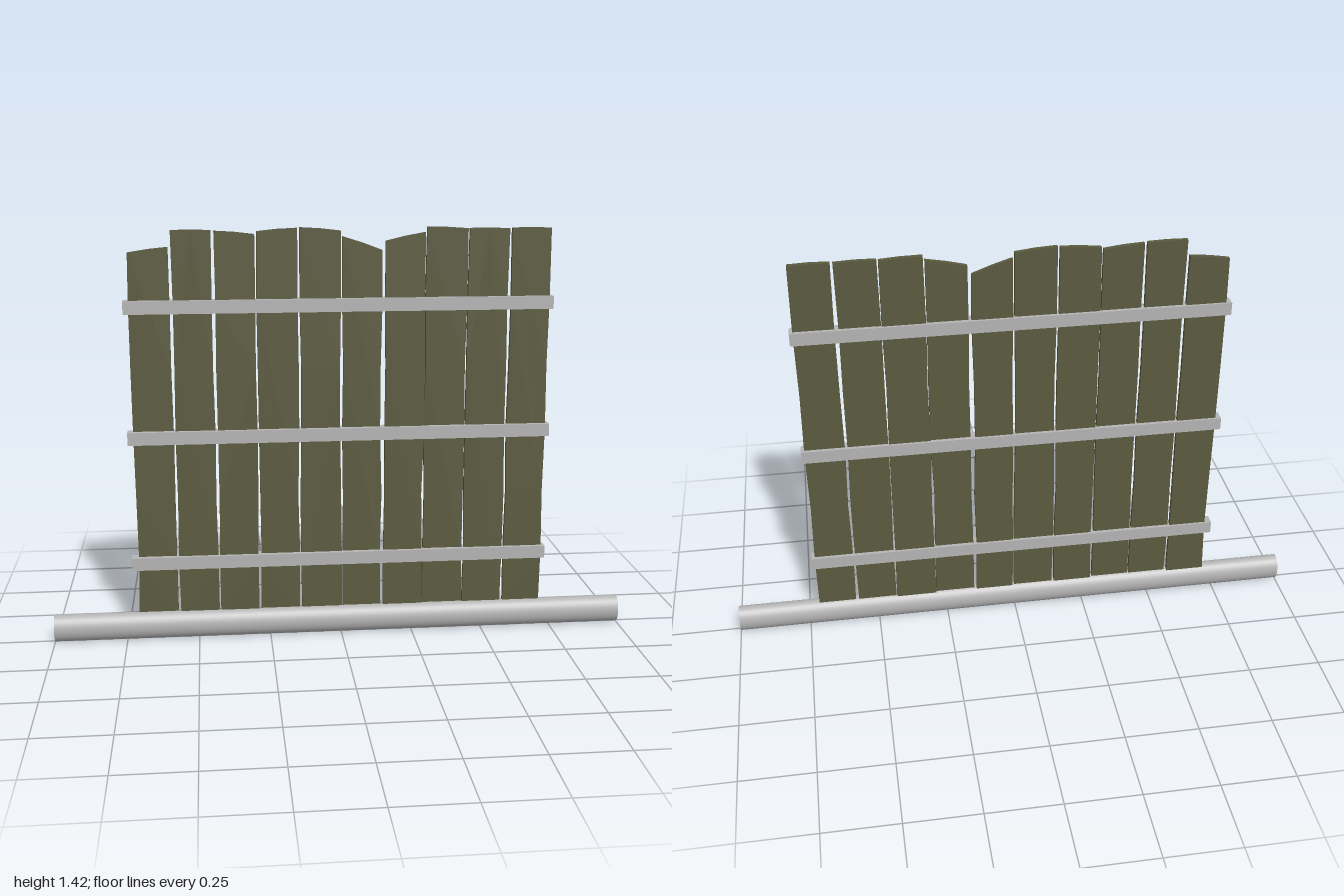
import * as THREE from 'three';

const wood = new THREE.MeshStandardMaterial({ color: 0x5b5b40 });
wood.name = 'olive wood';
const grey = new THREE.MeshStandardMaterial({ color: 0xb4b4b4 });
grey.name = 'light grey';

// One entry per plank: left edge, right edge, top-left, top-right, z of its middle
const PLANKS = [
  [-0.705, -0.572, 1.345, 1.362, -0.010],
  [-0.563, -0.430, 1.417, 1.416, -0.005],
  [-0.421, -0.287, 1.414, 1.402, -0.004],
  [-0.280, -0.145, 1.411, 1.421, -0.008],
  [-0.138, 0.000, 1.423, 1.411, -0.006],
  [0.006, 0.139, 1.392, 1.346, -0.009],
  [0.151, 0.285, 1.376, 1.404, -0.004],
  [0.291, 0.430, 1.421, 1.415, -0.009],
  [0.435, 0.571, 1.416, 1.414, -0.005],
  [0.579, 0.713, 1.416, 1.415, -0.005],
];
const THICK = 0.015;
const BOTTOM = 0.085;

// Seeded random for the rough-sawn edges
function makeRandom(seed) {
  return () => (seed = (seed * 16807) % 2147483647) / 2147483647;
}

// Board with slightly wavering sides and a slanted top
function makePlank([x0, x1, y0, y1, z], random) {
  const waver = () => (random() - 0.5) * 0.007;
  const levels = [0.28, 0.5, 0.72, 0.95, 1.17];
  const shape = new THREE.Shape();
  shape.moveTo(x0 + waver(), BOTTOM);
  shape.lineTo(x1 + waver(), BOTTOM);
  for (const y of levels) shape.lineTo(x1 + waver(), y);
  shape.lineTo(x1, y1);
  shape.lineTo((x0 + x1) / 2, (y0 + y1) / 2 + 0.002);
  shape.lineTo(x0, y0);
  for (const y of levels.slice().reverse()) shape.lineTo(x0 + waver(), y);
  shape.closePath();
  const geometry = new THREE.ExtrudeGeometry(shape, { depth: THICK, bevelEnabled: false });
  geometry.translate(0, 0, z - THICK / 2);
  return new THREE.Mesh(geometry, wood);
}

export function createModel() {
  const model = new THREE.Group();
  model.name = 'plankFence';

  // Upright boards
  const planks = new THREE.Group();
  planks.name = 'planks';
  const random = makeRandom(4711);
  PLANKS.forEach((spec, i) => {
    const plank = makePlank(spec, random);
    plank.name = `plank${i + 1}`;
    planks.add(plank);
  });
  model.add(planks);

  // Cross rails running through the boards
  [0.275, 0.72, 1.165].forEach((y, i) => {
    const rail = new THREE.Mesh(new THREE.BoxGeometry(1.45, 0.044, 0.042), grey);
    rail.name = `rail${i + 1}`;
    rail.position.set(0, y, -0.004);
    model.add(rail);
  });

  // Oval base beam
  const beamGeometry = new THREE.CylinderGeometry(1, 1, 2, 32);
  beamGeometry.rotateZ(Math.PI / 2);
  beamGeometry.scale(1, 0.0475, 0.036);
  const beam = new THREE.Mesh(beamGeometry, grey);
  beam.name = 'baseBeam';
  beam.position.y = 0.0475;
  model.add(beam);

  return model;
}
